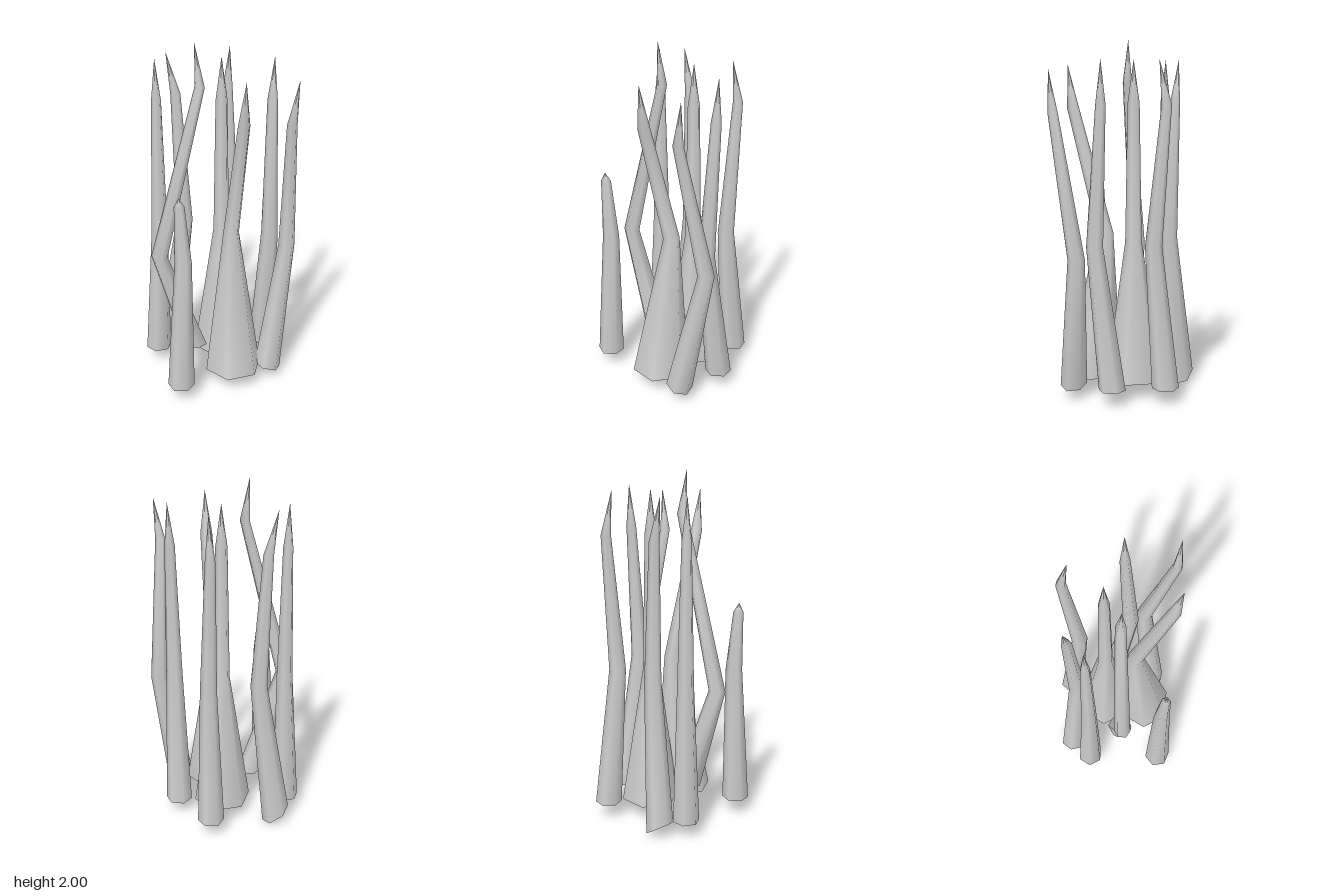
import * as THREE from 'three';

const SIDES = 6;

// Shared rules: height and radius at foot, elbow, shoulder and pointed tip
const HEIGHTS = [0.09, 0.88, 1.65, 1.89];
const THIN = [0.075, 0.047, 0.028, 0];
const THICK = [0.165, 0.047, 0.034, 0];

// One six-sided stalk. path holds the [x, z] of foot, elbow, shoulder and tip;
// turn rotates the hexagon (degrees), tilt slopes the cut foot along x.
function stalkGeometry(path, { heights = HEIGHTS, radii = THIN, turn = 0, tilt = 0 }) {
  const pos = [], idx = [];
  const addRing = (k) => {
    const [x, z] = path[k];
    for (let i = 0; i < SIDES; i++) {
      const a = (i / SIDES) * Math.PI * 2 + THREE.MathUtils.degToRad(turn);
      const dx = radii[k] * Math.cos(a);
      pos.push(x + dx, heights[k] + (k === 0 ? dx * tilt : 0), z + radii[k] * Math.sin(a));
    }
  };

  // sides share vertices for smooth shading
  path.forEach((_, k) => addRing(k));
  for (let k = 0; k < path.length - 1; k++) {
    for (let i = 0; i < SIDES; i++) {
      const a = k * SIDES + i, b = k * SIDES + ((i + 1) % SIDES);
      idx.push(a, a + SIDES, b);
      if (k < path.length - 2) idx.push(b, a + SIDES, b + SIDES);
    }
  }

  // flat foot with its own vertices
  const foot = pos.length / 3;
  addRing(0);
  for (let i = 1; i < SIDES - 1; i++) idx.push(foot, foot + i, foot + i + 1);

  const geo = new THREE.BufferGeometry();
  geo.setAttribute('position', new THREE.Float32BufferAttribute(pos, 3));
  geo.setIndex(idx);
  geo.computeVertexNormals();
  return geo;
}

export function createModel() {
  const group = new THREE.Group();
  group.name = 'stalkCluster';
  const material = new THREE.MeshStandardMaterial({ color: 0xcccccc });
  const addStalk = (name, path, options = {}) => {
    const mesh = new THREE.Mesh(stalkGeometry(path, options), material);
    mesh.name = name;
    group.add(mesh);
  };

  // two thick stalks in the middle
  addStalk('thickBackStalk', [[0.04, -0.07], [0.04, -0.06], [0.04, -0.06], [0.04, -0.06]],
    { radii: THICK });
  addStalk('thickFrontStalk', [[0.03, 0.19], [0.04, 0.11], [0.04, 0.3], [0.04, 0.33]],
    { radii: THICK, heights: [0.09, 0.92, 1.62, 1.86] });

  // thin stalks on the right
  addStalk('rightStraightStalk', [[-0.33, -0.147], [-0.308, -0.137], [-0.307, -0.135], [-0.31, -0.135]]);
  addStalk('rightElbowStalk', [[-0.16, 0.035], [-0.363, 0.055], [-0.112, 0.03], [-0.14, 0.035]],
    { turn: 30, tilt: -0.1, heights: [0.19, 0.81, 1.76, 2] });
  addStalk('shortFrontStalk', [[-0.315, 0.283], [-0.29, 0.275], [-0.308, 0.282], [-0.31, 0.285]],
    { turn: 20, heights: [0.09, 0.87, 1.21, 1.26] });
  addStalk('backRightBentStalk', [[-0.235, -0.26], [-0.135, -0.215], [-0.17, -0.235], [-0.22, -0.24]],
    { turn: 10, tilt: -0.65, heights: [0.05, 0.88, 1.65, 1.89] });

  // thin stalks on the left
  addStalk('backLeftStalk', [[0.16, -0.29], [0.152, -0.215], [0.153, -0.285], [0.15, -0.242]],
    { turn: 8 });
  addStalk('leftStalk', [[0.293, -0.025], [0.285, 0.078], [0.3, 0.035], [0.31, 0.03]],
    { turn: 20 });
  addStalk('frontLeftBentStalk', [[0.23, 0.23], [0.36, 0.155], [0.303, 0.308], [0.335, 0.318]],
    { turn: 10, tilt: -0.3, heights: [0.075, 0.82, 1.6, 1.84] });

  return group;
}
